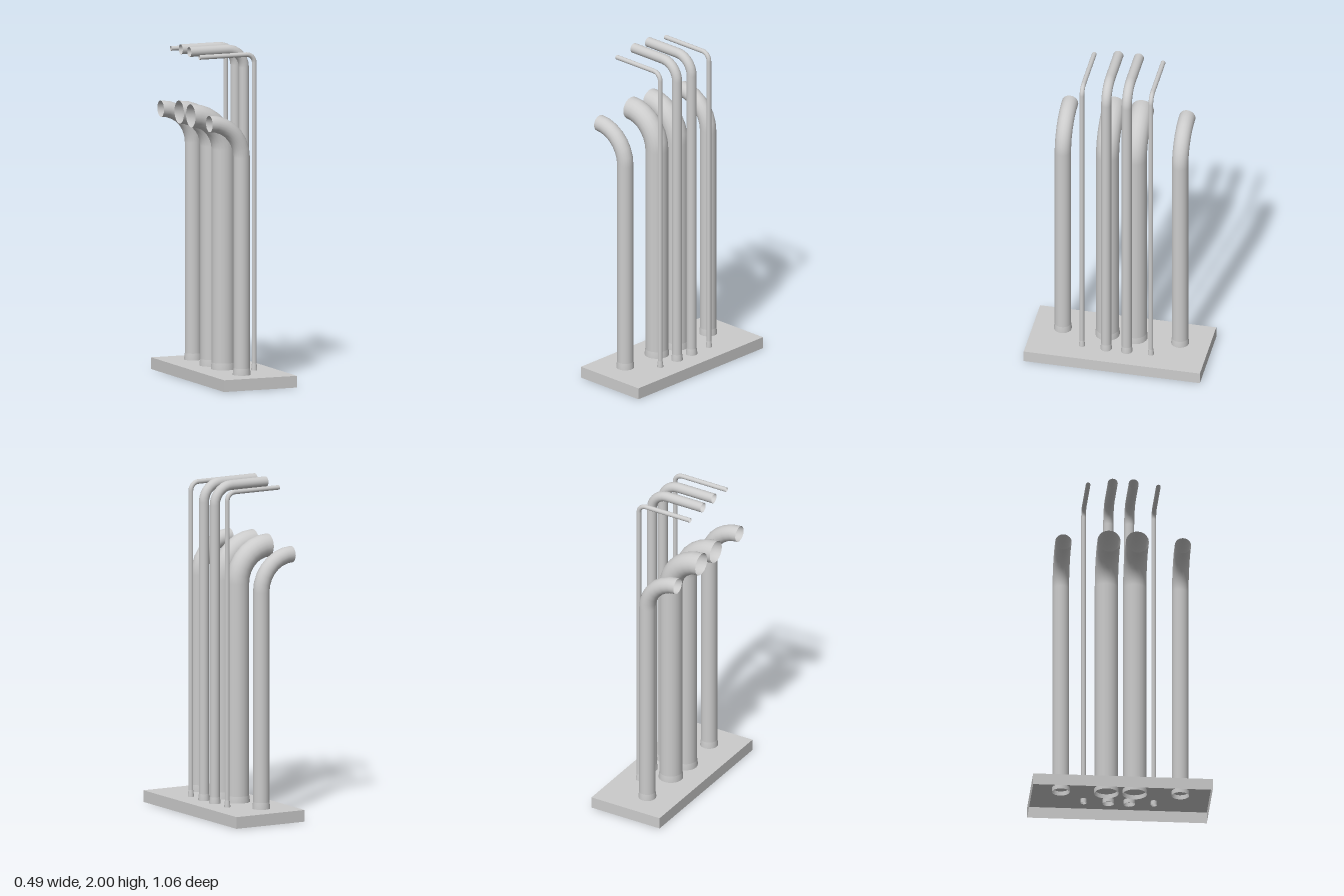
import * as THREE from 'three';

const material = new THREE.MeshStandardMaterial({ color: 0xcccccc, side: THREE.DoubleSide });

const PLATE_TOP = 0.07;
const STUB_BOTTOM = 0.045; // pipes poke slightly through the plate
const OUTLET_X = -0.245;

function part(name, geometry, x = 0, y = 0, z = 0) {
  const mesh = new THREE.Mesh(geometry, material);
  mesh.name = name;
  mesh.position.set(x, y, z);
  return mesh;
}

// Upright pipe with a quarter bend and an open outlet towards -x
function createPipe({ name, x, z, radius, top, bend }) {
  const pipe = new THREE.Group();
  pipe.name = name;
  const sides = 20;
  const axisY = top - radius;
  const bendY = axisY - bend;
  const bendX = x - bend;

  const height = bendY - STUB_BOTTOM;
  pipe.add(part('riser', new THREE.CylinderGeometry(radius, radius, height, sides, 1, true),
    x, STUB_BOTTOM + height / 2, z));

  pipe.add(part('elbow', new THREE.TorusGeometry(bend, radius, sides, 7, Math.PI / 2), bendX, bendY, z));

  const run = bendX - OUTLET_X;
  if (run > 0.005) {
    const outlet = new THREE.CylinderGeometry(radius, radius, run, sides, 1, true).rotateZ(Math.PI / 2);
    pipe.add(part('outlet', outlet, OUTLET_X + run / 2, axisY, z));
  }

  // Flared collar where the pipe meets the plate
  const flare = radius + 0.004;
  const profile = [[flare, STUB_BOTTOM], [flare, PLATE_TOP + 0.01], [radius, PLATE_TOP + 0.04]]
    .map(([r, y]) => new THREE.Vector2(r, y));
  pipe.add(part('collar', new THREE.LatheGeometry(profile, sides), x, 0, z));
  return pipe;
}

export function createModel() {
  const model = new THREE.Group();
  model.name = 'pipeRack';

  // Hollow base plate: a box without its underside
  const box = new THREE.BoxGeometry(0.47, PLATE_TOP, 1.064);
  const index = Array.from(box.index.array);
  index.splice(18, 6);
  box.setIndex(index);
  box.clearGroups();
  model.add(part('basePlate', box, 0.007, PLATE_TOP / 2, 0));

  // Four kinds of pipe, mirrored front to back
  const kinds = [
    { name: 'outerPipe', x: -0.036, z: 0.354, radius: 0.049, top: 1.627, bend: 0.209 },
    { name: 'widePipe', x: -0.036, z: 0.084, radius: 0.069, top: 1.661, bend: 0.209 },
    { name: 'mediumPipe', x: 0.108, z: 0.062, radius: 0.03, top: 2.0, bend: 0.11 },
    { name: 'thinPipe', x: 0.11, z: 0.208, radius: 0.014, top: 1.97, bend: 0.05 },
  ];
  for (const kind of kinds) {
    for (const side of [1, -1]) {
      model.add(createPipe({ ...kind, name: kind.name + (side > 0 ? 'Front' : 'Back'), z: kind.z * side }));
    }
  }
  return model;
}
